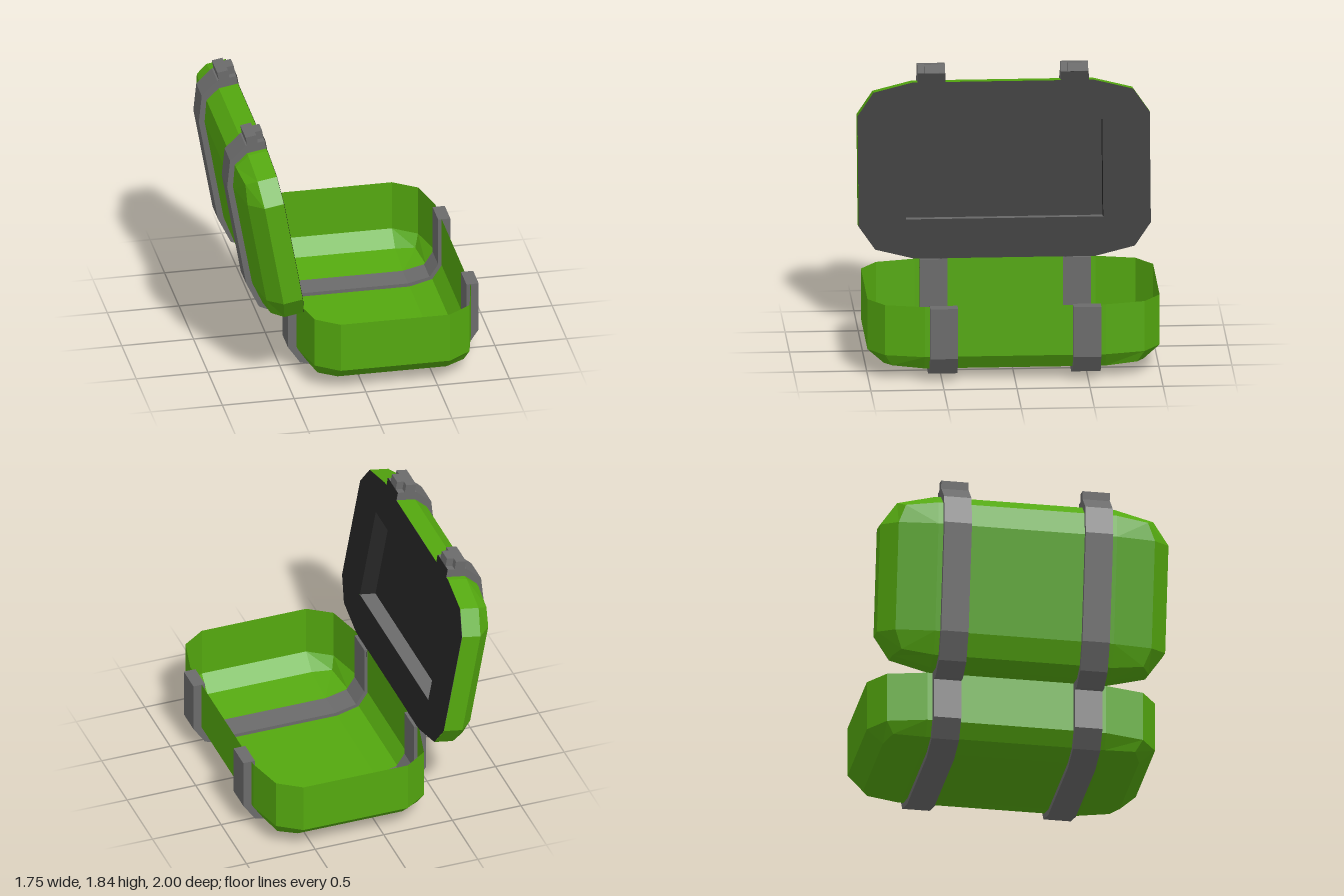
import * as THREE from 'three';

const LENGTH = 1.21, MID = LENGTH / 2;      // tray size across x
const RX = 0.225, RY = 0.14, RZ = 0.38;     // corner radii
const STRAP_Z = 0.49, STRAP_W = 0.19;

const paint = (name, color) => {
  const m = new THREE.MeshStandardMaterial({ color, side: THREE.DoubleSide, flatShading: true });
  m.name = name;
  return m;
};

// Ring of 12 points; edge and corner directions are scaled by the corner radii.
function ring(wall, edge, corner, up, cornerUp) {
  const pts = [];
  [[1, 1], [-1, 1], [-1, -1], [1, -1]].forEach(([sx, sz], q) => {
    const dirs = [[edge, up, 0], [corner, cornerUp, corner], [0, up, edge]];
    if (q % 2) dirs.reverse();
    for (const [x, y, z] of dirs) {
      pts.push(new THREE.Vector3(
        MID + sx * (MID - RX + x * RX), wall + y * RY, sz * (1 - RZ + z * RZ)));
    }
  });
  return pts;
}

// Open faceted dome, rim at y = 0 and closed above.
function shellGeometry(wall) {
  const s2 = Math.SQRT1_2, s3 = 1 / Math.sqrt(3);
  const rings = [
    ring(0, 1, s2, 0, 0), ring(wall, 1, s2, 0, 0),
    ring(wall, s2, s3, s2, s3), ring(wall, 0, 0, 1, 1),
  ];
  const out = [];
  const tri = (a, b, c) => {
    if (new THREE.Triangle(a, b, c).getArea() > 1e-7) {
      for (const p of [a, b, c]) out.push(p.x, p.y, p.z);
    }
  };
  for (let k = 0; k < 12; k++) {
    const n = (k + 1) % 12;
    for (let i = 0; i < 3; i++) {
      const lo = rings[i], hi = rings[i + 1];
      tri(lo[k], hi[k], lo[n]);
      tri(lo[n], hi[k], hi[n]);
    }
    tri(new THREE.Vector3(MID, wall + RY, 0), rings[3][n], rings[3][k]);
  }
  const g = new THREE.BufferGeometry();
  g.setAttribute('position', new THREE.Float32BufferAttribute(out, 3));
  g.computeVertexNormals();
  return g;
}

// U-shaped band that follows the dome, slightly proud on both sides.
function strapGeometry(wall) {
  const mirror = (half) => [...half, ...half.map(([x, y]) => [LENGTH - x, y]).reverse()];
  const outer = mirror([[-0.06, 0], [-0.06, wall], [0.025, wall + 0.125], [0.22, wall + RY + 0.04]]);
  const inner = mirror([[0.025, 0], [0.025, wall - 0.01], [0.085, wall + 0.08], [0.235, wall + RY - 0.025]]);
  const shape = new THREE.Shape([...outer, ...inner.reverse()].map(([x, y]) => new THREE.Vector2(x, y)));
  return new THREE.ExtrudeGeometry(shape, { depth: STRAP_W, bevelEnabled: false })
    .translate(0, 0, -STRAP_W / 2);
}

export function createModel() {
  const green = paint('green shell', 0x54a80f);
  const grey = paint('grey trim', 0x6b6b6b);
  const black = paint('black lining', 0x252525);

  const add = (parent, name, geometry, material, x = 0, y = 0, z = 0) => {
    const mesh = new THREE.Mesh(geometry, material);
    mesh.name = name;
    mesh.position.set(x, y, z);
    parent.add(mesh);
    return mesh;
  };
  // Box given by its minimum and maximum corners
  const box = (parent, name, material, x0, x1, y0, y1, z0, z1) =>
    add(parent, name, new THREE.BoxGeometry(x1 - x0, y1 - y0, z1 - z0), material,
      (x0 + x1) / 2, (y0 + y1) / 2, (z0 + z1) / 2);

  // Shell half with its two straps
  const half = (name, wall) => {
    const g = new THREE.Group();
    g.name = name;
    g.position.set(-0.4, 0.535, 0);
    add(g, name + 'Shell', shellGeometry(wall), green);
    for (const s of [1, -1]) add(g, name + 'Strap', strapGeometry(wall), grey, 0, 0, s * STRAP_Z);
    return g;
  };

  const base = half('base', 0.355);
  base.rotation.x = Math.PI;

  const lid = half('lid', 0.136);
  lid.rotation.z = THREE.MathUtils.degToRad(100);

  // Lining panel with a rectangular opening
  const U0 = 0.27, U1 = 0.94, ZW = 0.675, DEPTH = 0.115;
  const outline = new THREE.Shape(ring(0, 1, Math.SQRT1_2, 0, 0).map((p) => new THREE.Vector2(p.x, p.z)));
  outline.holes.push(new THREE.Path([[U0, -ZW], [U0, ZW], [U1, ZW], [U1, -ZW]]
    .map(([x, y]) => new THREE.Vector2(x, y))));
  add(lid, 'liningPanel', new THREE.ShapeGeometry(outline).rotateX(Math.PI / 2), black, 0, -0.002, 0);

  // Recess behind the opening
  const T = 0.005;
  box(lid, 'recessBack', black, U0, U1, DEPTH, DEPTH + T, -ZW, ZW);
  box(lid, 'recessLedge', grey, U0 - T, U0, 0, DEPTH, -ZW, ZW);
  box(lid, 'recessTop', black, U1, U1 + T, 0, DEPTH, -ZW, ZW);
  for (const s of [1, -1]) {
    const z = s * (ZW + T / 2);
    box(lid, 'recessSide', black, U0, U1, 0, DEPTH, z - T / 2, z + T / 2);
  }

  // Lining tabs on the strap ends, and the latches
  for (const s of [1, -1]) {
    const z0 = s * STRAP_Z - STRAP_W / 2, z1 = z0 + STRAP_W;
    box(lid, 'hingeTab', black, -0.06, 0, -0.004, 0, z0, z1);
    box(lid, 'latchTab', black, LENGTH, 1.27, -0.004, 0, z0, z1);
    box(lid, 'latchBar', grey, 1.265, 1.33, 0.05, 0.125, z0, z1);
    box(lid, 'latchTongue', grey, 1.265, 1.33, 0, 0.05, z0 + 0.045, z1 - 0.045);
  }

  const model = new THREE.Group();
  model.name = 'openCase';
  model.add(base, lid);
  return model;
}
